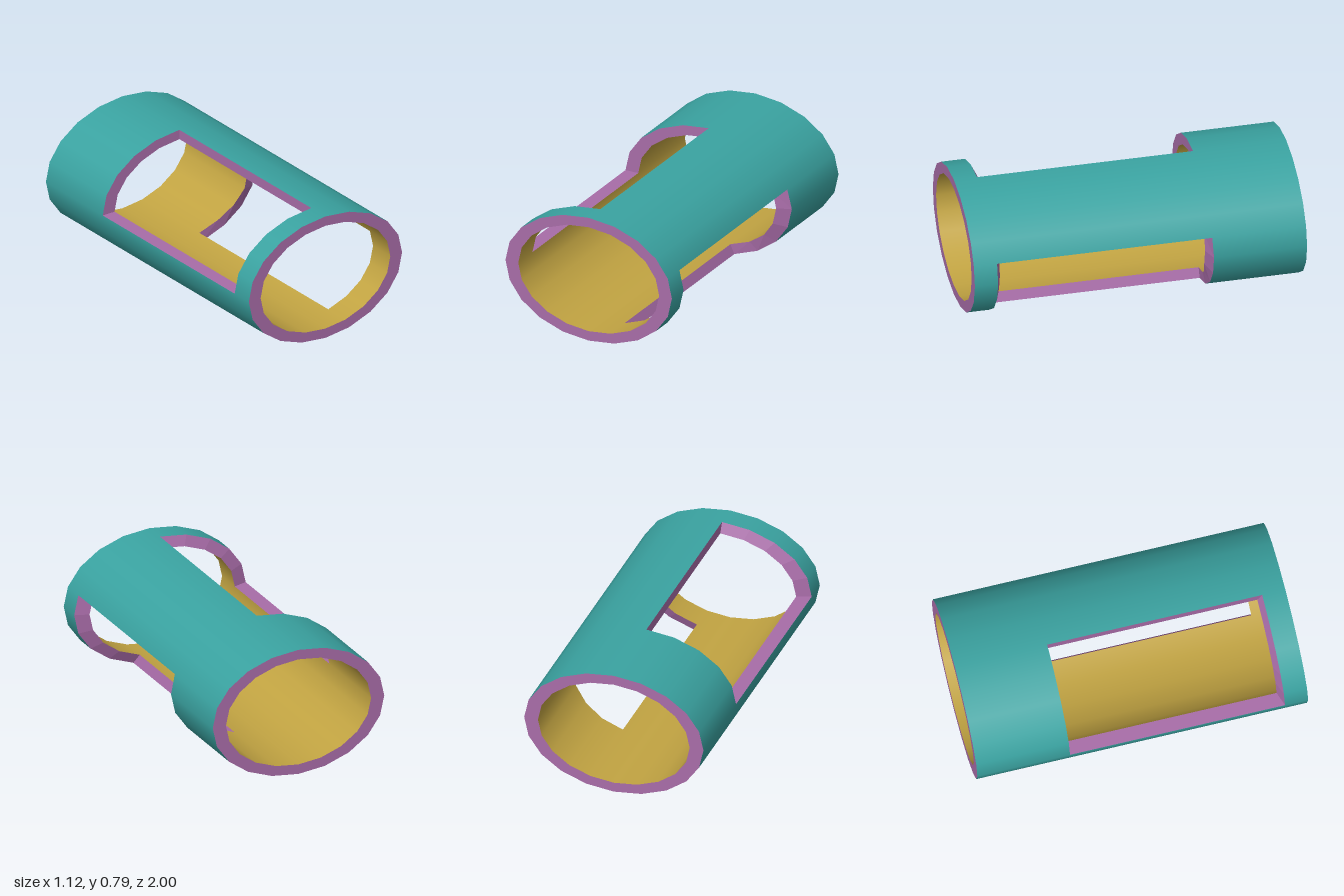
import * as THREE from 'three';

const SIDES = 20, CENTRE_Y = 0.4;
const OUTER = { rx: 0.56, ry: 0.397, front: () => 0.86, back: k => (k === 1 ? -0.435 : -0.44) };
// the inner rim of the right-hand opening is slightly skewed at the back
const SKEW = { '-3': -0.435, '-2': -0.42, '-1': -0.405, 0: -0.405, 1: -0.405 };
const INNER = { rx: 0.474, ry: 0.336, front: () => 0.83, back: k => SKEW[k] ?? -0.44 };

// Openings as ranges of side indices, counted from +x towards +y
const WINDOWS = [
  { name: 'upperRightWindow', from: 5, to: 10 },
  { name: 'lowerLeftWindow', from: -4, to: 1 },
];
const isOpen = k => WINDOWS.some(w => k >= w.from && k < w.to);

const angle = k => (k / SIDES) * Math.PI * 2;
const point = (s, k, z) => [s.rx * Math.cos(angle(k)), CENTRE_Y + s.ry * Math.sin(angle(k)), z];

// Quads are lists of four corners, counter-clockwise from their front
function quadMesh(name, quads, color, normalAt) {
  const pos = [], nor = [];
  for (const q of quads)
    for (const i of [0, 1, 2, 0, 2, 3]) {
      pos.push(...q[i]);
      if (normalAt) nor.push(...normalAt(q[i]));
    }
  const geo = new THREE.BufferGeometry();
  geo.setAttribute('position', new THREE.Float32BufferAttribute(pos, 3));
  if (normalAt) geo.setAttribute('normal', new THREE.Float32BufferAttribute(nor, 3));
  else geo.computeVertexNormals();
  const mesh = new THREE.Mesh(geo, new THREE.MeshStandardMaterial({ color }));
  mesh.name = name;
  return mesh;
}

// Smooth elliptical wall with the openings left out
function wall(name, s, color, dir) {
  const quads = [];
  for (let k = -4; k < SIDES - 4; k++) {
    const rows = [() => 1, s.front, s.back, () => -1];
    for (let r = 0; r < 3; r++) {
      if (r === 1 && isOpen(k)) continue;
      const q = [
        point(s, k, rows[r](k)), point(s, k, rows[r + 1](k)),
        point(s, k + 1, rows[r + 1](k + 1)), point(s, k + 1, rows[r](k + 1)),
      ];
      quads.push(dir > 0 ? q : q.reverse());
    }
  }
  const normalAt = ([x, y]) =>
    new THREE.Vector3(x / s.rx ** 2, (y - CENTRE_Y) / s.ry ** 2, 0).normalize().multiplyScalar(dir).toArray();
  return quadMesh(name, quads, color, normalAt);
}

// Strip of cut faces joining the outer and inner walls across the tube
function strip(from, to, zOut, zIn, facing) {
  const quads = [];
  for (let k = from; k < to; k++) {
    const q = [
      point(OUTER, k, zOut(k)), point(OUTER, k + 1, zOut(k + 1)),
      point(INNER, k + 1, zIn(k + 1)), point(INNER, k, zIn(k)),
    ];
    quads.push(facing > 0 ? q : q.reverse());
  }
  return quads;
}

// Cut face running along the tube at one side of an opening
const sill = k => [
  point(OUTER, k, OUTER.front(k)), point(OUTER, k, OUTER.back(k)),
  point(INNER, k, INNER.back(k)), point(INNER, k, INNER.front(k)),
];

export function createModel() {
  const teal = 0x3aa3a1, ochre = 0xc2a442, purple = 0xa86ca8;
  const group = new THREE.Group();
  group.name = 'slottedTube';

  group.add(wall('outerWall', OUTER, teal, 1), wall('innerWall', INNER, ochre, -1));

  // End rings
  for (const [name, z] of [['frontRim', 1], ['backRim', -1]])
    group.add(quadMesh(name, strip(0, SIDES, () => z, () => z, z), purple));

  // Cut edges around each opening
  for (const { name, from, to } of WINDOWS)
    group.add(quadMesh(name + 'Edge', [
      ...strip(from, to, OUTER.front, INNER.front, -1),
      ...strip(from, to, OUTER.back, INNER.back, 1),
      sill(from), sill(to).reverse(),
    ], purple));

  return group;
}
